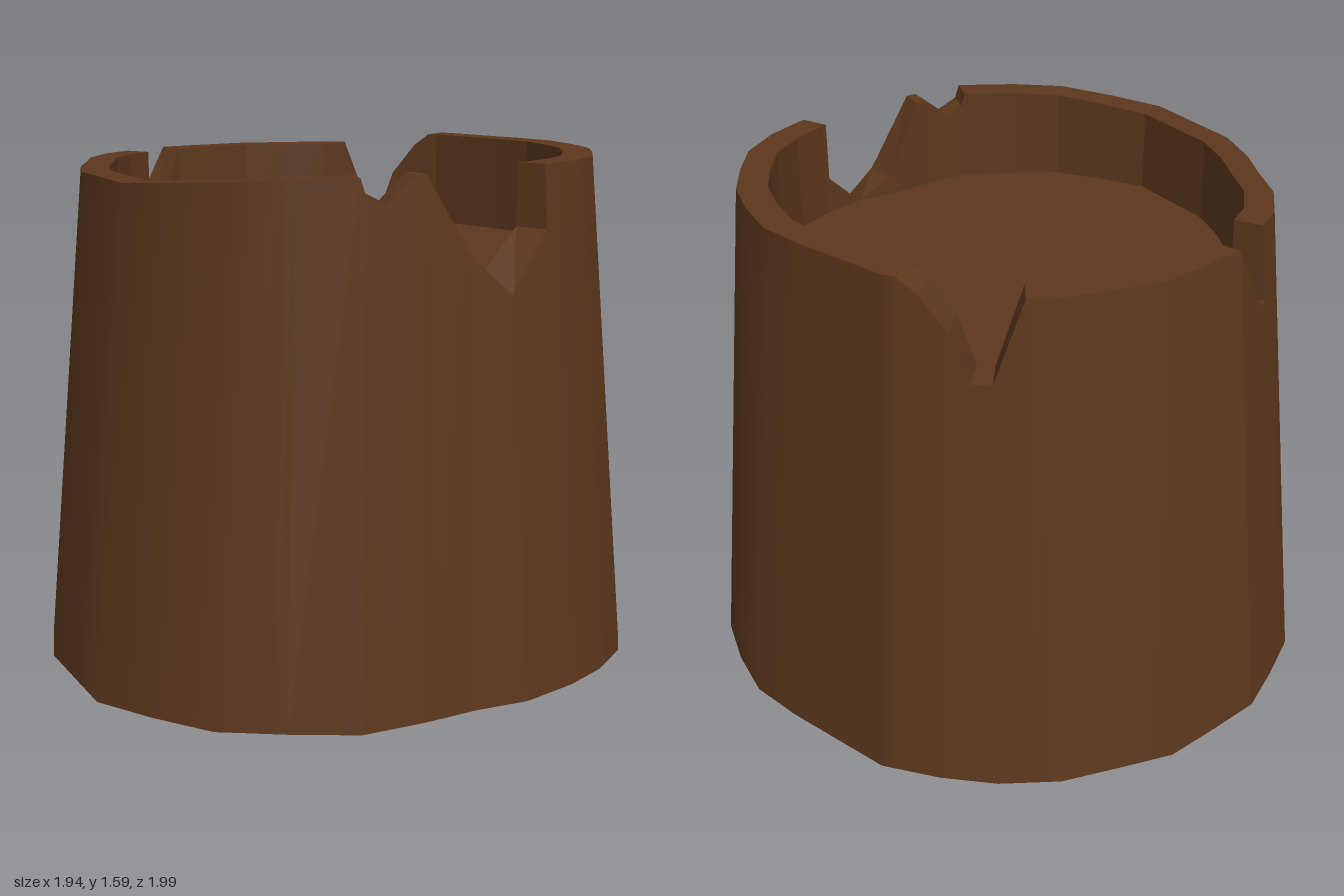
import * as THREE from 'three';

// Uneven outline of the foot, [x, z]
const FOOT = [
  [0.97, -0.09], [0.95, 0.11], [0.88, 0.27], [0.825, 0.45], [0.75, 0.64], [0.59, 0.78], [0.42, 0.91],
  [0.21, 0.96], [0, 0.99], [-0.2, 0.91], [-0.4, 0.83], [-0.56, 0.7], [-0.68, 0.57], [-0.81, 0.44],
  [-0.9, 0.28], [-0.94, 0.1], [-0.97, -0.08], [-0.93, -0.27], [-0.89, -0.44], [-0.79, -0.585],
  [-0.68, -0.74], [-0.53, -0.86], [-0.37, -0.94], [-0.19, -1], [0.19, -0.97], [0.375, -0.94],
  [0.54, -0.85], [0.69, -0.74], [0.81, -0.59], [0.91, -0.44], [0.96, -0.26],
];

// Height of the broken rim by angle in degrees (0 = +x, 90 = +z)
const RIM = [
  [-4, 1.59], [-3.8, 1.4], [7, 1.22], [15.5, 1.34], [26, 1.58], [28.5, 1.58], [35, 1.505], [39.5, 1.535],
  [40.5, 1.58], [55, 1.575], [90, 1.545], [171, 1.55], [171.2, 1.31], [174, 1.31], [185, 1.55],
  [233, 1.55], [239, 1.3], [243, 1.3], [247, 1.45], [253, 1.55], [257, 1.59], [356, 1.59],
];

const FLOOR = 1.28, TOP = 1.59, TAPER = 0.145, INNER = 0.89;
const DEG = Math.PI / 180;

// Distance from the axis to the foot outline in a given direction
function footRadius(deg) {
  const dx = Math.cos(deg * DEG), dz = Math.sin(deg * DEG);
  for (let i = 0; i < FOOT.length; i++) {
    const [px, pz] = FOOT[i], [qx, qz] = FOOT[(i + 1) % FOOT.length];
    if (px * dz - pz * dx >= -1e-9 && dx * qz - dz * qx >= -1e-9 && px * dx + pz * dz > 0) {
      return (px * qz - pz * qx) / (dx * (qz - pz) - dz * (qx - px));
    }
  }
  return 0.95;
}

function rimHeight(deg) {
  for (let i = 0; i < RIM.length - 1; i++) {
    const [a, ya] = RIM[i], [b, yb] = RIM[i + 1];
    if (deg >= a && deg <= b) return ya + (yb - ya) * (deg - a) / (b - a);
  }
  return TOP;
}

// Point on the tapering trunk; k scales it towards the axis
function trunkPoint(deg, y, k = 1, taperY = y) {
  const t = taperY / TOP;
  const r = footRadius(deg) * (1 - TAPER * t) * k;
  return [r * Math.cos(deg * DEG) + 0.012 * t, y, r * Math.sin(deg * DEG)];
}

// Closed band of faces between two rings
function band(name, a, b, material, smooth) {
  const n = a.length, index = [];
  for (let i = 0; i < n; i++) {
    const j = (i + 1) % n;
    index.push(i, n + i, j, n + i, n + j, j);
  }
  let geometry = new THREE.BufferGeometry();
  geometry.setAttribute('position', new THREE.Float32BufferAttribute([...a, ...b].flat(), 3));
  geometry.setIndex(index);
  if (!smooth) geometry = geometry.toNonIndexed();
  geometry.computeVertexNormals();
  const mesh = new THREE.Mesh(geometry, material);
  mesh.name = name;
  return mesh;
}

export function createModel() {
  const group = new THREE.Group();
  group.name = 'treeStump';
  const wood = new THREE.MeshStandardMaterial({ color: 0x5c371c });

  // Angles of the outline corners and of the rim breaks together
  const wrap = (d) => (d < -4 ? d + 360 : d);
  const angles = [
    ...FOOT.map(([x, z]) => wrap(Math.atan2(z, x) / DEG)),
    ...RIM.slice(0, -1).map(([d]) => d),
  ].sort((p, q) => p - q).filter((d, i, all) => i === 0 || d - all[i - 1] > 0.05);

  const foot = angles.map((d) => trunkPoint(d, 0));
  const outer = angles.map((d) => trunkPoint(d, rimHeight(d)));
  const inner = angles.map((d) => trunkPoint(d, Math.max(rimHeight(d), FLOOR), INNER, TOP));
  const floor = angles.map((d) => trunkPoint(d, FLOOR, INNER, TOP));
  const centre = (y) => angles.map(() => [0, y, 0]);

  group.add(
    band('bark', foot, outer, wood, true),
    band('brokenRim', outer, inner, wood, false),
    band('hollowWall', inner, floor, wood, false),
    band('hollowFloor', floor, centre(FLOOR), wood, false),
    band('underside', centre(0), foot, wood, false),
  );
  return group;
}
